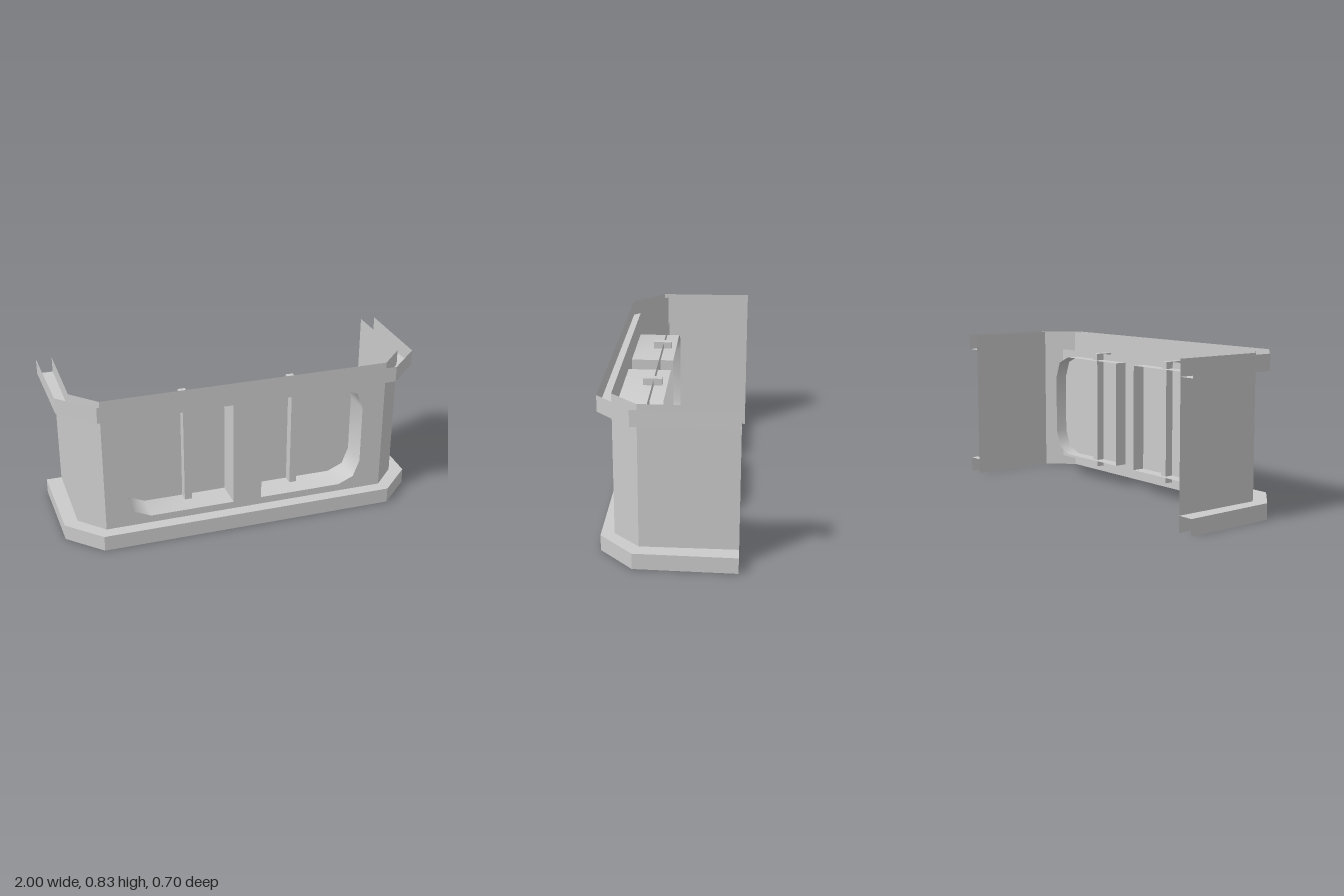
import * as THREE from 'three';
import { toCreasedNormals } from 'three/addons/utils/BufferGeometryUtils.js';

const material = new THREE.MeshStandardMaterial({ color: 0xcccccc, side: THREE.DoubleSide });
const HEIGHT = 0.835, BAND = 0.085, MID = HEIGHT / 2;

function add(group, name, geometry) {
  const mesh = new THREE.Mesh(geometry, material);
  mesh.name = name;
  group.add(mesh);
  return mesh;
}

// Thin sheet that sweeps a 2D path from depth a to depth b along local z
function ribbon(path, a, b) {
  const positions = [], index = [];
  path.forEach(([u, v], i) => {
    positions.push(u, v, a, u, v, b);
    if (i < path.length - 1) {
      const k = i * 2;
      index.push(k, k + 2, k + 1, k + 1, k + 2, k + 3);
    }
  });
  const geometry = new THREE.BufferGeometry();
  geometry.setAttribute('position', new THREE.Float32BufferAttribute(positions, 3));
  geometry.setIndex(index);
  return geometry;
}

// Upright sheet following a plan path given as [x, z]
function uprightSheet(path, y0, y1) {
  const geometry = ribbon(path, -y0, -y1).rotateX(Math.PI / 2);
  return toCreasedNormals(geometry, 0.3);
}

const mirrorPath = (half) => [...half, ...half.map(([x, z]) => [-x, z]).reverse()];
const toShape = (points) => new THREE.Shape(points.map(([x, y]) => new THREE.Vector2(x, y)));

export function createModel() {
  const model = new THREE.Group();
  model.name = 'bayFront';

  // Plan outlines: inner wall and outer bands
  const wallHalf = [[0.915, -0.348], [0.915, 0.145], [0.785, 0.28]];
  const outer = mirrorPath([[1, -0.348], [0.99, 0.172], [0.812, 0.348]]);
  const inner = mirrorPath(wallHalf);

  // Window outline: square by the middle, faceted round corners outside
  const upper = [[0.08, 0.71], [0.54, 0.71], [0.625, 0.672], [0.66, 0.58]];
  const outline = [...upper, ...upper.map(([x, y]) => [x, 2 * MID - y]).reverse()];
  const outlines = [1, -1].map((s) => outline.map(([x, y]) => [s * x, y]));

  // Front wall with two window openings
  const front = toShape([[-0.785, 0], [0.785, 0], [0.785, HEIGHT], [-0.785, HEIGHT]]);
  outlines.forEach((o) => front.holes.push(toShape(o)));
  add(model, 'frontWall', new THREE.ShapeGeometry(front)).position.z = 0.28;

  // Side walls with angled front corners
  for (const s of [1, -1]) {
    const path = wallHalf.map(([x, z]) => [s * x, z]);
    add(model, s > 0 ? 'leftWall' : 'rightWall', uprightSheet(path, 0, HEIGHT));
  }

  // Bands: outer strip joined to the wall by one flat ledge
  const ledge = new THREE.ShapeGeometry(toShape([...outer, ...[...inner].reverse()])).rotateX(Math.PI / 2);
  for (const [name, y0, y1, ledgeY] of [
    ['bottom', 0, BAND, BAND],
    ['top', HEIGHT - BAND, HEIGHT, HEIGHT - BAND],
  ]) {
    add(model, name + 'Band', uprightSheet(outer, y0, y1));
    add(model, name + 'Ledge', ledge).position.y = ledgeY;
  }

  // Window sleeves, open at front and back, each with an upright bar
  outlines.forEach((o, i) => {
    const side = i === 0 ? 'left' : 'right';
    add(model, side + 'WindowSleeve', toCreasedNormals(ribbon([...o, o[0]], 0.05, 0.28), 0.9));
    const bar = add(model, side + 'WindowBar', new THREE.BoxGeometry(0.04, 0.66, 0.1));
    bar.position.set(i === 0 ? 0.305 : -0.305, MID, 0.125);
  });

  // One pane runs through both sleeves
  add(model, 'windowPane', new THREE.PlaneGeometry(1.38, 0.655)).position.set(0, MID, 0.12);

  return model;
}
